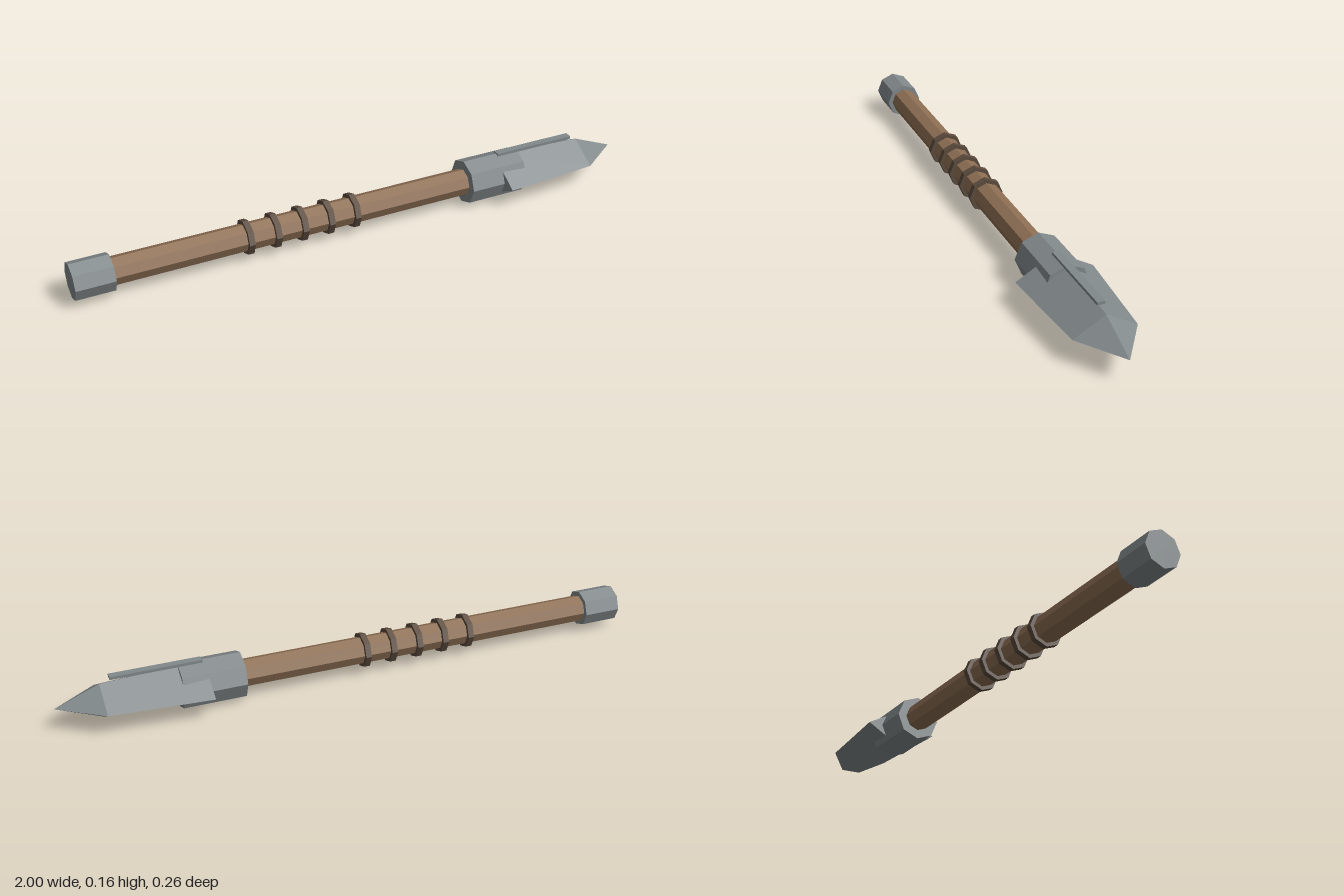
import * as THREE from 'three';

const AXIS_Y = 0.08;

export function createModel() {
  const model = new THREE.Group();
  model.name = 'spear';

  const flat = (name, color) => new THREE.MeshStandardMaterial({ name, color, flatShading: true });
  const wood = flat('wood', 0x8e6f53);
  const binding = flat('binding', 0x5c4b3d);
  const steel = flat('steel', 0x82898b);

  // Faceted section lying along x, from x0 (radius r0) to x1 (radius r1)
  function section(name, material, x0, x1, r0, r1 = r0, sides = 8, flatten = 1, openEnded = false) {
    const geometry = new THREE.CylinderGeometry(r1, r0, x1 - x0, sides, 1, openEnded);
    geometry.rotateZ(-Math.PI / 2).scale(1, flatten, 1);
    const mesh = new THREE.Mesh(geometry, material);
    mesh.name = name;
    mesh.position.set((x0 + x1) / 2, AXIS_Y, 0);
    model.add(mesh);
    return mesh;
  }

  // Shaft, butt cap and head socket
  section('shaft', wood, -0.95, 0.45, 0.047);
  section('buttCap', steel, -1, -0.87, 0.063);
  section('socket', steel, 0.39, 0.6, 0.079);

  // Grip rings
  for (let i = 0; i < 5; i++) {
    const x = -0.418 + i * 0.0948;
    section('gripRing' + (i + 1), binding, x - 0.01, x + 0.01, 0.06);
  }

  // Diamond-section blade and its point
  section('blade', steel, 0.513, 0.852, 0.131, 0.104, 4, 0.573);
  section('bladePoint', steel, 0.852, 1, 0.104, 0, 4, 0.573, true);

  // Thin ridge along the top of the blade
  const ridge = new THREE.Mesh(new THREE.BoxGeometry(0.3, 0.01, 0.026), steel);
  ridge.name = 'bladeRidge';
  ridge.position.set(0.67, 0.158, 0);
  model.add(ridge);

  return model;
}
